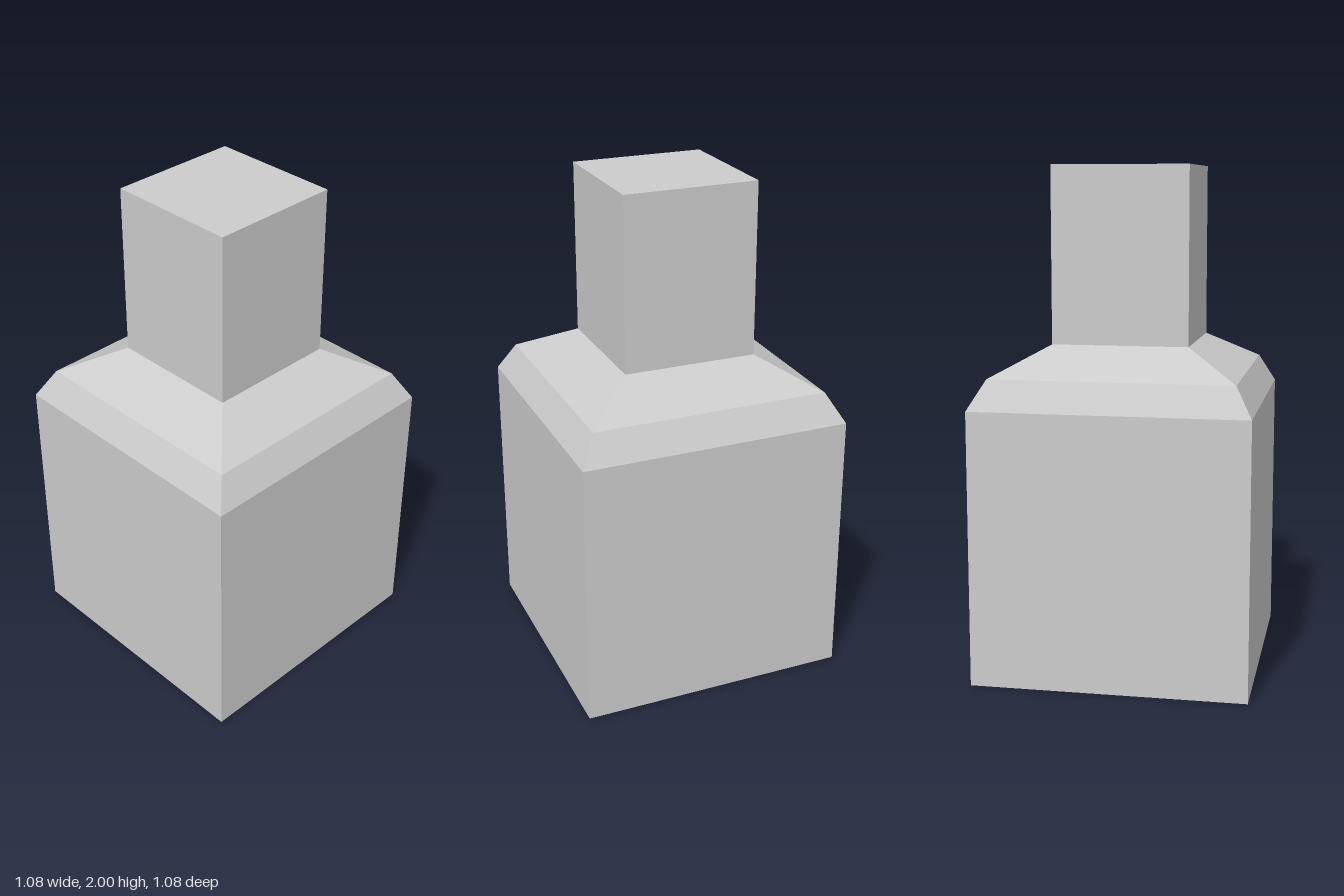
import * as THREE from 'three';

const material = new THREE.MeshStandardMaterial({ color: 0xcccccc, flatShading: true });

// Four-sided solid swept from [half width, height] pairs, listed bottom to top
function squareLathe(name, profile) {
  const points = profile.map(([half, y]) => new THREE.Vector2(half * Math.SQRT2, y));
  const mesh = new THREE.Mesh(new THREE.LatheGeometry(points, 4, Math.PI / 4), material);
  mesh.name = name;
  return mesh;
}

export function createModel() {
  const model = new THREE.Group();
  model.name = 'squareBottle';
  model.add(
    // Square body, closed at the base
    squareLathe('body', [[0, 0], [0.54, 0], [0.54, 1.08]]),
    // Two-step sloping shoulder
    squareLathe('shoulder', [[0.54, 1.08], [0.475, 1.196], [0.268, 1.31]]),
    // Square neck, closed at the top
    squareLathe('neck', [[0.268, 1.31], [0.268, 2], [0, 2]]),
  );
  return model;
}
